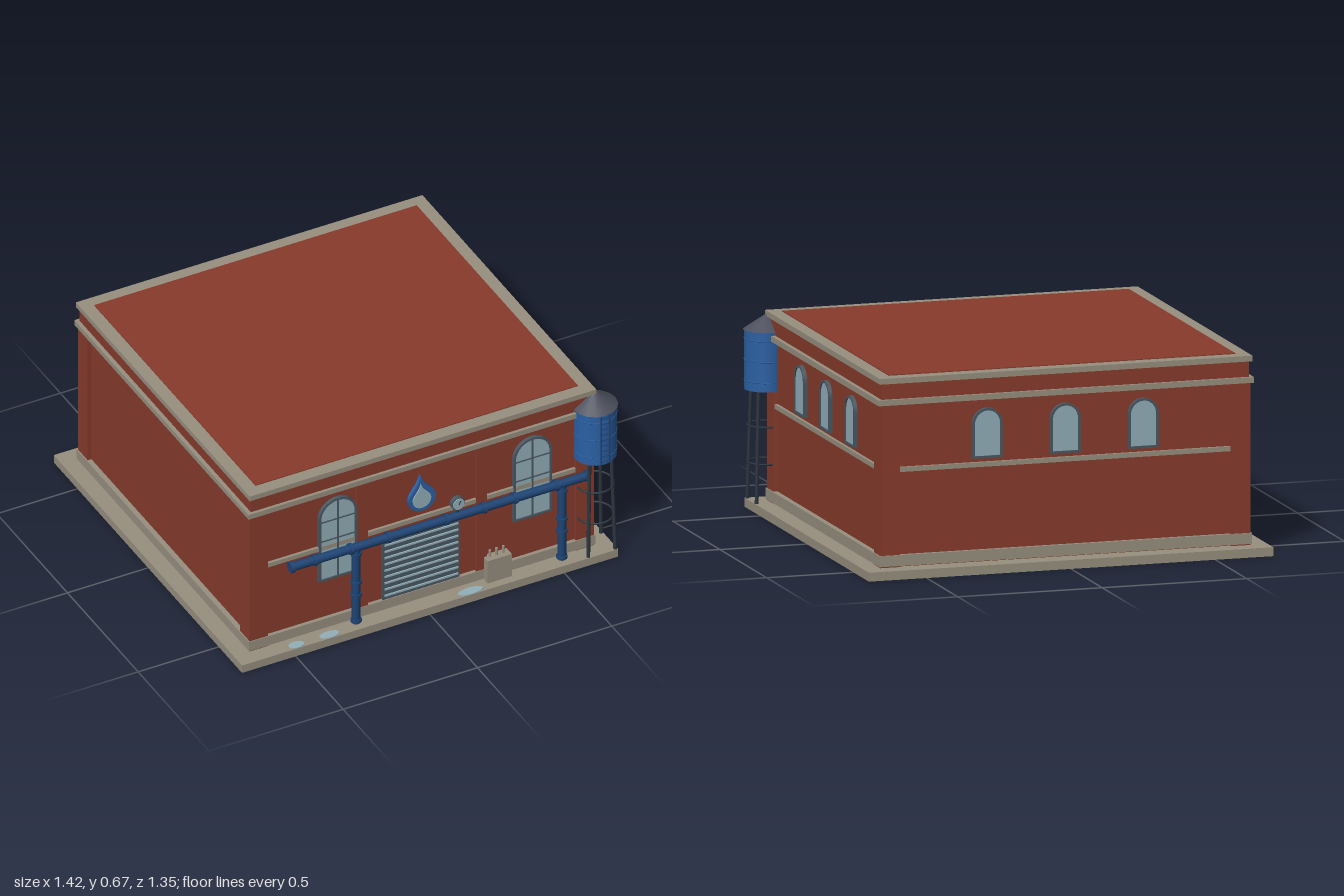
import * as THREE from 'three';

const mat = (name, color) => {
  const m = new THREE.MeshStandardMaterial({ color });
  m.name = name;
  return m;
};

export function createModel() {
  const brick = mat('brick red', 0x883b2c);
  const stone = mat('stone', 0x989080);
  const glass = mat('pale glass', 0x93afb9);
  const frameMat = mat('slate frame', 0x4b5863);
  const tankBlue = mat('tank blue', 0x2b60a4);
  const pipeBlue = mat('pipe blue', 0x1d4475);
  const iron = mat('dark iron', 0x2c363f);
  const roofGrey = mat('roof grey', 0x4c4f5c);

  const model = new THREE.Group();
  model.name = 'pumpingStation';

  const add = (name, geo, m, x = 0, y = 0, z = 0, parent = model) => {
    const mesh = new THREE.Mesh(geo, m);
    mesh.name = name;
    mesh.position.set(x, y, z);
    parent.add(mesh);
    return mesh;
  };
  // Box given by its min and max corners
  const box = (name, m, x0, x1, y0, y1, z0, z1, parent = model) =>
    add(name, new THREE.BoxGeometry(x1 - x0, y1 - y0, z1 - z0), m,
      (x0 + x1) / 2, (y0 + y1) / 2, (z0 + z1) / 2, parent);
  // Cylinder running between two points
  const rod = (name, m, a, b, r, sides = 10, parent = model) => {
    const va = new THREE.Vector3(...a), vb = new THREE.Vector3(...b);
    const d = vb.clone().sub(va);
    const c = va.add(vb).multiplyScalar(0.5);
    const mesh = add(name, new THREE.CylinderGeometry(r, r, d.length(), sides), m, c.x, c.y, c.z, parent);
    mesh.quaternion.setFromUnitVectors(new THREE.Vector3(0, 1, 0), d.normalize());
    return mesh;
  };
  const group = (name, x = 0, y = 0, z = 0) => {
    const g = new THREE.Group();
    g.name = name;
    g.position.set(x, y, z);
    model.add(g);
    return g;
  };

  // Slab, core, walls and stone courses
  const wx = 0.627, wz = 0.597;
  box('slab', stone, -0.7, 0.7, 0, 0.03, -0.667, 0.665);
  box('core', brick, -0.6, 0.6, 0, 0.67, -0.57, 0.57);
  box('walls', brick, -wx, wx, 0.03, 0.58, -wz, wz);
  box('plinth', stone, -0.645, 0.645, 0.034, 0.071, -0.61, 0.61);
  box('cornice', stone, -0.65, 0.65, 0.576, 0.595, -0.617, 0.617);
  box('parapet', brick, -0.636, 0.636, 0.595, 0.648, -0.606, 0.606);
  box('parapetCap', stone, -0.645, 0.645, 0.648, 0.667, -0.615, 0.615);
  for (const sx of [-1, 1]) {
    for (const sz of [-1, 1]) {
      add('cornerPilaster', new THREE.BoxGeometry(0.068, 0.55, 0.068), brick, sx * 0.607, 0.305, sz * 0.573);
    }
    box('frontPilaster', brick, sx * 0.222 - 0.02, sx * 0.222 + 0.02, 0.07, 0.577, wz, wz + 0.011);
  }
  const bandLow = 0.349, bandHigh = 0.365;
  box('frontBand', stone, -0.572, 0.572, bandLow, bandHigh, wz, wz + 0.01);
  box('backBand', stone, -0.572, 0.572, bandLow, bandHigh, -wz - 0.01, -wz);
  box('sideBand', stone, wx, wx + 0.01, bandLow, bandHigh, -0.538, 0.538);

  // Arched windows
  const archShape = (w, h) => {
    const s = new THREE.Shape(), r = w / 2;
    s.moveTo(-r, 0);
    s.lineTo(r, 0);
    s.lineTo(r, h - r);
    s.absarc(0, h - r, r, 0, Math.PI, false);
    s.lineTo(-r, 0);
    return s;
  };
  const archWindow = (name, x, y, z, turn, w, h, t, bars) => {
    const g = group(name, x, y, z);
    g.rotation.y = turn;
    const outer = archShape(w, h);
    outer.holes.push(new THREE.Path(archShape(w - 2 * t, h - 2 * t).getPoints(10).map(p => p.setY(p.y + t))));
    add('windowFrame', new THREE.ExtrudeGeometry(outer, { depth: 0.013, bevelEnabled: false, curveSegments: 10 }),
      frameMat, 0, 0, 0, g);
    add('windowGlass', new THREE.ExtrudeGeometry(archShape(w - t, h - t),
      { depth: 0.009, bevelEnabled: false, curveSegments: 10 }), glass, 0, t / 2, 0, g);
    if (bars) {
      box('mullion', frameMat, -0.003, 0.003, t, h - t, 0, 0.012, g);
      for (const f of [0.26, 0.5, 0.74]) {
        box('glazingBar', frameMat, -w / 2 + t, w / 2 - t, h * f - 0.002, h * f + 0.002, 0, 0.012, g);
      }
    }
  };
  for (const x of [-0.313, 0.412]) archWindow('frontWindow', x, 0.224, wz, 0, 0.142, 0.322, 0.008, true);
  for (const d of [-0.27, 0, 0.27]) {
    archWindow('sideWindow', wx, 0.378, d, Math.PI / 2, 0.104, 0.168, 0.008, false);
    archWindow('backWindow', d, 0.378, -wz, Math.PI, 0.104, 0.168, 0.008, false);
  }

  // Roller shutter
  box('shutter', frameMat, -0.146, 0.14, 0.07, 0.312, wz, wz + 0.01);
  for (let i = 0; i < 9; i++) {
    const y = 0.088 + i * 0.0255;
    box('shutterSlat', glass, -0.14, 0.134, y - 0.003, y + 0.003, wz + 0.008, wz + 0.015);
  }

  // Water drop sign with a leaning tip
  const dropShape = (k) => {
    const s = new THREE.Shape();
    s.moveTo(-0.006 * k, 0.093 * k);
    s.bezierCurveTo(-0.012 * k, 0.05 * k, -0.05 * k, 0.03 * k, -0.05 * k, -0.002 * k);
    s.bezierCurveTo(-0.05 * k, -0.067 * k, 0.05 * k, -0.067 * k, 0.05 * k, -0.002 * k);
    s.bezierCurveTo(0.05 * k, 0.035 * k, 0.004 * k, 0.045 * k, -0.006 * k, 0.093 * k);
    return s;
  };
  add('dropRim', new THREE.ExtrudeGeometry(dropShape(1), { depth: 0.014, bevelEnabled: false }), tankBlue, 0, 0.44, wz);
  add('dropFace', new THREE.ExtrudeGeometry(dropShape(0.68), { depth: 0.004, bevelEnabled: false }),
    glass, -0.003, 0.439, wz + 0.014);

  // Pressure gauge above the main pipe
  const gauge = group('gauge', 0.125, 0.385, 0.622);
  rod('gaugeCase', frameMat, [0, 0, -0.01], [0, 0, 0.006], 0.025, 16, gauge);
  rod('gaugeFace', glass, [0, 0, 0.006], [0, 0, 0.01], 0.021, 16, gauge);
  rod('gaugeNeedle', iron, [0, 0, 0.011], [0.006, 0.013, 0.011], 0.002, 5, gauge);
  rod('gaugeStem', iron, [0, -0.04, 0], [0, -0.02, 0], 0.005, 8, gauge);

  // Main pipe, down pipes and flanges
  const pz = 0.624, py = 0.335;
  rod('mainPipe', pipeBlue, [-0.5, py, pz], [0.61, py, pz], 0.0155, 12);
  for (const x of [-0.495, -0.41, -0.275, -0.135, 0.08, 0.22, 0.335, 0.49, 0.605]) {
    rod('pipeFlange', pipeBlue, [x - 0.006, py, pz], [x + 0.006, py, pz], 0.02, 12);
  }
  for (const x of [-0.254, 0.512]) {
    rod('downPipe', pipeBlue, [x, 0.03, pz], [x, py, pz], 0.0145, 12);
    for (const y of [0.04, 0.145, 0.195, 0.31]) {
      rod('downPipeFlange', pipeBlue, [x, y - 0.005, pz], [x, y + 0.005, pz], 0.019, 12);
    }
  }

  // Water tower at the front corner
  const tower = group('waterTower', 0.643, 0, 0.607);
  add('tank', new THREE.CylinderGeometry(0.074, 0.074, 0.2, 16), tankBlue, 0, 0.505, 0, tower);
  add('tankRoof', new THREE.ConeGeometry(0.078, 0.052, 16), roofGrey, 0, 0.631, 0, tower);
  for (const y of [0.435, 0.505, 0.575]) {
    add('tankHoop', new THREE.TorusGeometry(0.074, 0.002, 5, 16), tankBlue, 0, y, 0, tower).rotation.x = Math.PI / 2;
  }
  for (let i = 0; i < 4; i++) {
    const a = Math.PI / 4 + i * Math.PI / 2, c = Math.cos(a), s = Math.sin(a);
    rod('towerLeg', iron, [c * 0.071, 0.02, s * 0.071], [c * 0.057, 0.41, s * 0.057], 0.0065, 8, tower);
  }
  for (const y of [0.16, 0.285]) {
    add('legHoop', new THREE.TorusGeometry(0.063, 0.0035, 6, 20), iron, 0, y, 0, tower).rotation.x = Math.PI / 2;
  }
  for (const x of [-0.016, 0.016]) rod('ladderRail', pipeBlue, [x, 0.41, 0.078], [x, 0.605, 0.078], 0.0025, 6, tower);
  for (let i = 0; i < 9; i++) {
    const y = 0.42 + i * 0.022;
    rod('ladderRung', pipeBlue, [-0.016, y, 0.078], [0.016, y, 0.078], 0.002, 6, tower);
  }

  // Equipment cabinet with terminals
  box('cabinet', stone, 0.23, 0.32, 0.03, 0.12, 0.59, 0.635);
  for (const x of [0.25, 0.275, 0.3]) rod('terminal', stone, [x, 0.12, 0.612], [x, 0.145, 0.612], 0.005, 8);

  // Puddles on the slab
  for (const [x, r] of [[-0.488, 0.028], [-0.365, 0.036], [0.16, 0.046]]) {
    const puddle = add('puddle', new THREE.CylinderGeometry(1, 1, 0.002, 16), glass, x, 0.031, 0.646);
    puddle.scale.set(r, 1, 0.018);
  }
  return model;
}
